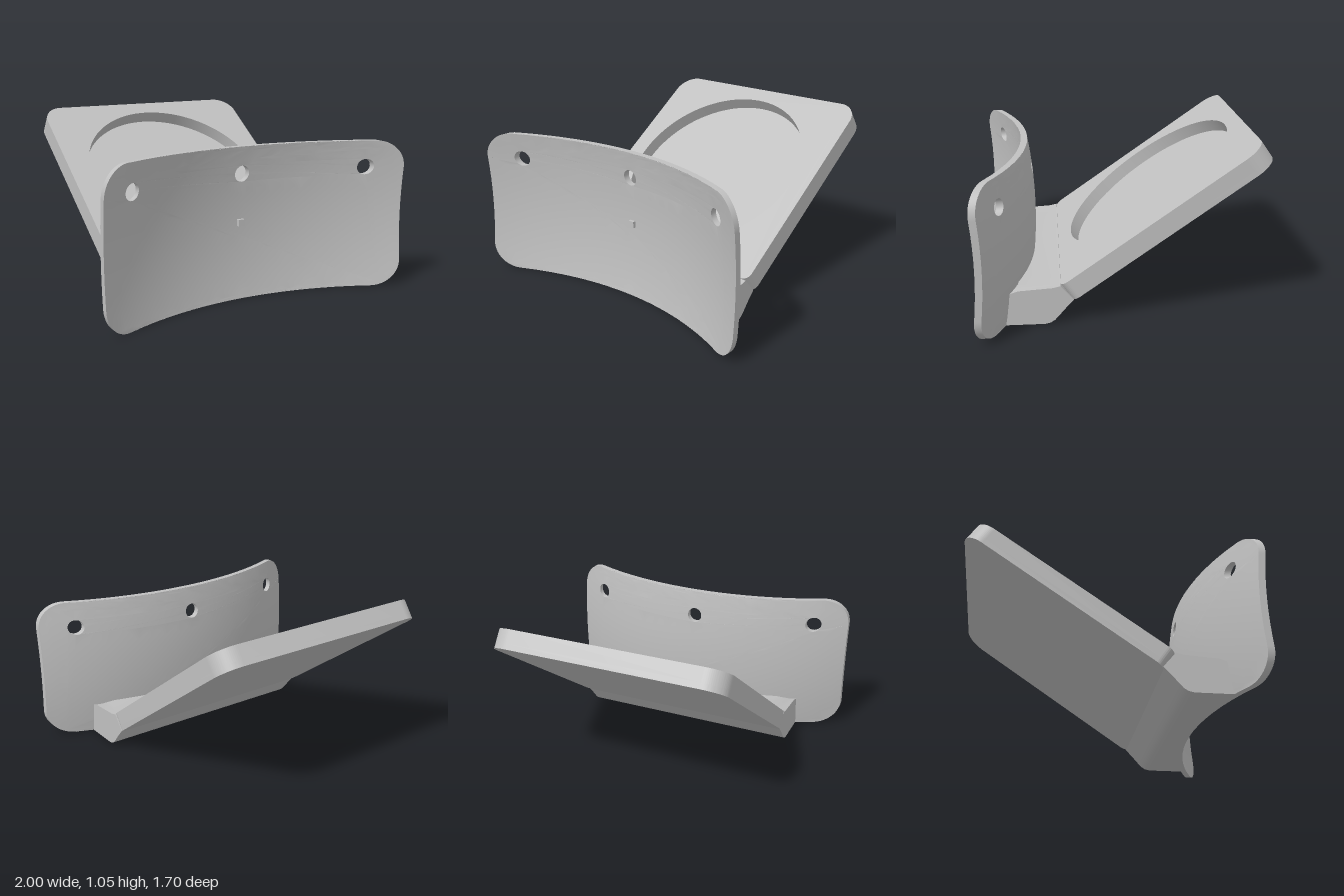
import * as THREE from 'three';
import { toCreasedNormals } from 'three/addons/utils/BufferGeometryUtils.js';

const PLATE_H = 0.92, PLATE_T = 0.04;

// Back surface of the dished plate
const sag = (d, r) => r - Math.sqrt(r * r - d * d);
const plateBack = (x, y) => 0.516 + sag(x, 1.93) + sag(y - PLATE_H / 2, 2.65);

// Rounded rectangle from y = 0 to h, with separate bottom and top corner radii
function roundedRect(w, h, rb, rt) {
  const s = new THREE.Shape(), a = w / 2, q = Math.PI / 2;
  s.absarc(a - rb, rb, rb, -q, 0);
  s.absarc(a - rt, h - rt, rt, 0, q);
  s.absarc(-a + rt, h - rt, rt, q, 2 * q);
  s.absarc(-a + rb, rb, rb, 2 * q, 3 * q);
  s.closePath();
  return s;
}

function addHole(shape, x, y, r) {
  shape.holes.push(new THREE.Path().absarc(x, y, r, 0, Math.PI * 2, true));
}

// Halve every edge longer than max, so that a flat shape can be bent smoothly
function subdivide(geometry, max) {
  const p = geometry.getAttribute('position'), out = [];
  const split = (a, b, c) => {
    const ab = a.distanceTo(b), bc = b.distanceTo(c), ca = c.distanceTo(a);
    const long = Math.max(ab, bc, ca);
    if (long <= max) {
      for (const v of [a, b, c]) out.push(v.x, v.y, v.z);
      return;
    }
    if (long === bc) [a, b, c] = [b, c, a];
    else if (long === ca) [a, b, c] = [c, a, b];
    const m = a.clone().add(b).multiplyScalar(0.5);
    split(a, m, c);
    split(m, b, c);
  };
  const v = i => new THREE.Vector3().fromBufferAttribute(p, i);
  for (let i = 0; i < p.count; i += 3) split(v(i), v(i + 1), v(i + 2));
  const g = new THREE.BufferGeometry();
  g.setAttribute('position', new THREE.Float32BufferAttribute(out, 3));
  return g;
}

function moveZ(geometry, rule) {
  const p = geometry.getAttribute('position');
  for (let i = 0; i < p.count; i++) p.setZ(i, rule(p.getX(i), p.getY(i), p.getZ(i)));
  return geometry;
}

export function createModel() {
  const model = new THREE.Group();
  model.name = 'curvedMountWithTray';
  const grey = new THREE.MeshStandardMaterial({ color: 0xc0c0c0 });
  grey.name = 'lightGrey';

  const add = (name, geometry, parent = model) => {
    const mesh = new THREE.Mesh(geometry, grey);
    mesh.name = name;
    parent.add(mesh);
    return mesh;
  };
  const extrude = (shape, depth, curveSegments = 12, steps = 1) =>
    new THREE.ExtrudeGeometry(shape, { depth, steps, curveSegments, bevelEnabled: false });

  // Dished mounting plate with three screw holes
  const plateShape = roundedRect(2, PLATE_H, 0.17, 0.17);
  for (const x of [-0.79, 0, 0.79]) addHole(plateShape, x, 0.755, 0.049);
  const plate = moveZ(subdivide(extrude(plateShape, PLATE_T), 0.1),
    (x, y, z) => z + plateBack(x, y));
  add('mountingPlate', toCreasedNormals(plate, 0.6));

  // Small square peg at the middle of the plate
  const peg = add('centrePeg', new THREE.BoxGeometry(0.04, 0.04, 0.04));
  peg.position.set(0, PLATE_H / 2, 0.556);

  // Connecting block: side profile as (z, y), its front fitted to the plate
  const profile = new THREE.Shape([
    [0.75, 0], [0.75, 0.1], [0.75, 0.195], [0.62, 0.214], [0.42, 0.227],
    [0.375, 0.238], [0.3, 0.148], [0.345, 0.1], [0.385, 0.053],
    [0.41, 0.025], [0.435, 0.008], [0.47, 0],
  ].map(([z, y]) => new THREE.Vector2(z, y)));
  const block = extrude(profile, 1.44, 12, 32).rotateY(-Math.PI / 2).translate(0.72, 0, 0);
  moveZ(block, (x, y, z) => Math.min(z, plateBack(x, y) + 0.01));
  add('connectingBlock', toCreasedNormals(block, 0.5));

  // Sloping tray: solid base below a rim with a round recess
  const tray = new THREE.Group();
  tray.name = 'tray';
  const W = 1.46, L = 1.41, BASE = 0.035, DEPTH = 0.085;
  add('trayBase', toCreasedNormals(extrude(roundedRect(W, L, 0.05, 0.13), BASE), 0.5), tray);
  const rimShape = roundedRect(W, L, 0.05, 0.13);
  addHole(rimShape, 0, L / 2, 0.605);
  const rim = extrude(rimShape, DEPTH, 48).translate(0, 0, BASE);
  add('trayRim', toCreasedNormals(rim, 0.5), tray);
  tray.rotation.x = -THREE.MathUtils.degToRad(55);
  tray.position.set(0, 0.142, 0.305);
  model.add(tray);

  return model;
}
